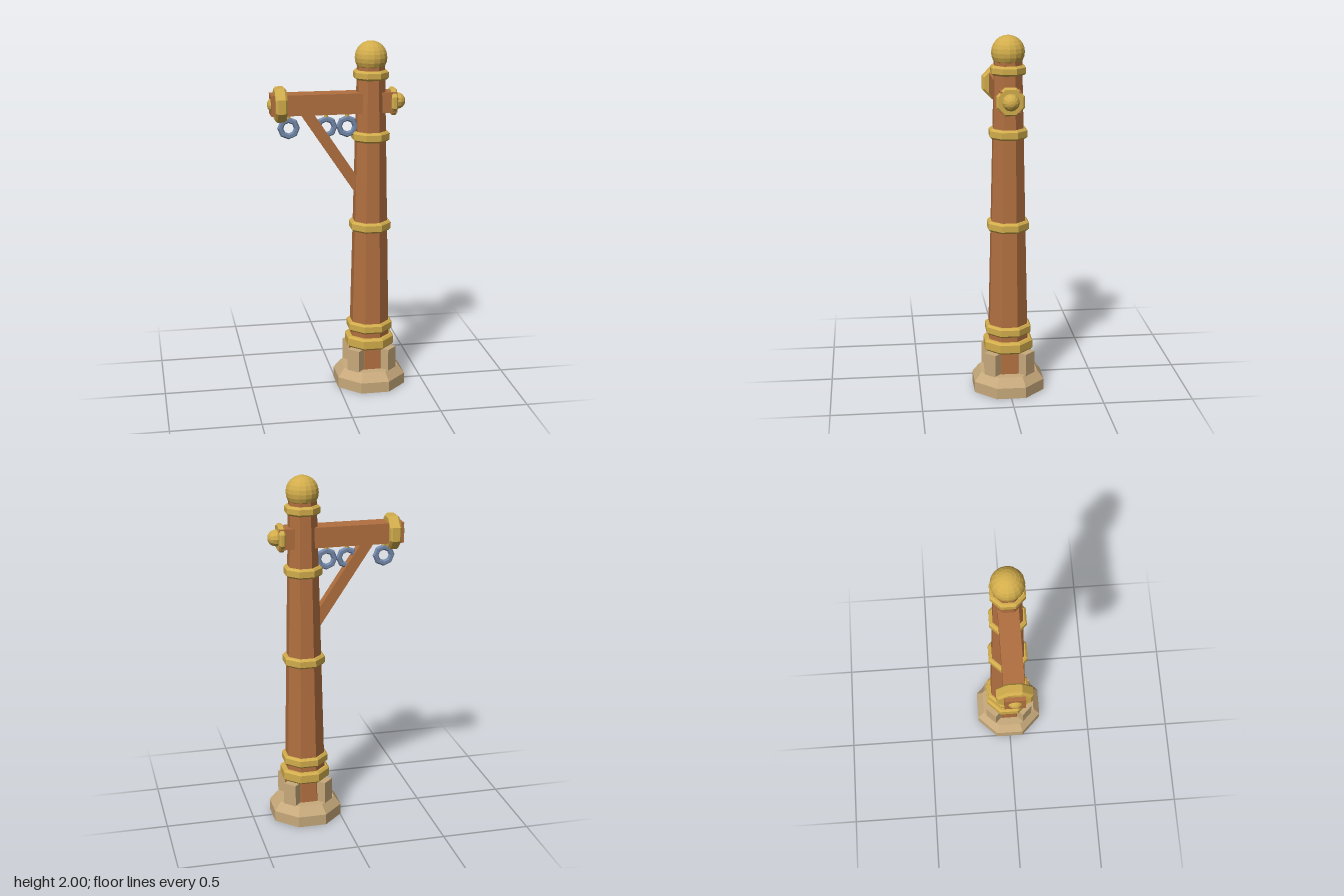
import * as THREE from 'three';

const mat = (name, color) => {
  const m = new THREE.MeshStandardMaterial({ color, flatShading: true });
  m.name = name;
  return m;
};

export function createModel() {
  const wood = mat('wood', 0xb27040);
  const gold = mat('gold', 0xd2ad4c);
  const stone = mat('stone', 0xc8aa7c);
  const steel = mat('steel', 0x7388aa);

  const root = new THREE.Group();
  root.name = 'signPost';
  const POST_X = 0.19, BEAM_Y = 1.662;

  const add = (name, geo, material, x = 0, y = 0, z = 0) => {
    const m = new THREE.Mesh(geo, material);
    m.name = name;
    m.position.set(x, y, z);
    root.add(m);
    return m;
  };

  // Octagonal solid from [apothem, height] pairs, flats facing the axes
  const octagon = (profile) => new THREE.LatheGeometry(
    profile.map(([a, y]) => new THREE.Vector2(a / Math.cos(Math.PI / 8), y)), 8, Math.PI / 8);

  // Octagonal band with chamfered rims, centred on its own height
  const band = (a, h, bevel) => octagon([
    [0, -h / 2], [a - bevel, -h / 2], [a, -h / 2 + bevel],
    [a, h / 2 - bevel], [a - bevel, h / 2], [0, h / 2]]);

  // Stone foot and four corner blocks
  add('stoneBase', octagon([[0, 0], [0.195, 0], [0.195, 0.062], [0.158, 0.112], [0, 0.112]]), stone, POST_X);
  for (let i = 0; i < 4; i++) {
    const a = Math.PI / 4 + i * Math.PI / 2;
    const block = add('stoneBlock', new THREE.BoxGeometry(0.08, 0.135, 0.07), stone,
      POST_X + Math.sin(a) * 0.126, 0.1675, Math.cos(a) * 0.126);
    block.rotation.y = a;
  }

  // Tapered post with metal bands and a ball on top
  add('post', octagon([[0, 0.1], [0.111, 0.1], [0.073, 1.87], [0, 1.87]]), wood, POST_X);
  [[0.133, 0.268, 0.066], [0.124, 0.358, 0.056], [0.112, 0.957, 0.056],
    [0.101, 1.472, 0.056], [0.093, 1.815, 0.052]].forEach(([a, y, h]) =>
    add('postBand', band(a, h, 0.011), gold, POST_X, y));
  add('topBall', new THREE.SphereGeometry(0.091, 16, 12), gold, POST_X, 1.909);

  // Cross beam with a collar and a knob at each end
  add('beam', new THREE.BoxGeometry(0.7, 0.114, 0.11), wood, -0.02, BEAM_Y);
  add('leftCollar', band(0.075, 0.034, 0.008), gold, 0.314, BEAM_Y).rotation.z = Math.PI / 2;
  add('rightCollar', band(0.094, 0.065, 0.012), gold, -0.316, BEAM_Y).rotation.z = Math.PI / 2;
  for (const [name, x] of [['leftKnob', 0.338], ['rightKnob', -0.341]]) {
    add(name, new THREE.SphereGeometry(0.047, 12, 8), gold, x, BEAM_Y).rotation.z = Math.PI / 2;
  }

  // Diagonal brace running from the beam into the post
  const braceShape = new THREE.Shape([
    [-0.212, 1.615], [-0.138, 1.615], [0.13, 1.215], [0.13, 1.105],
  ].map(([x, y]) => new THREE.Vector2(x, y)));
  const braceGeo = new THREE.ExtrudeGeometry(braceShape, { depth: 0.056, bevelEnabled: false });
  add('brace', braceGeo, wood, 0, 0, -0.028);

  // Hanging rings on small eyelets under the beam
  for (const x of [-0.27, -0.06, 0.058]) {
    add('eyelet', new THREE.CylinderGeometry(0.012, 0.012, 0.045, 6), gold, x, 1.587);
    add('hangingRing', new THREE.TorusGeometry(0.046, 0.017, 6, 8), steel, x, 1.528);
  }

  return root;
}
